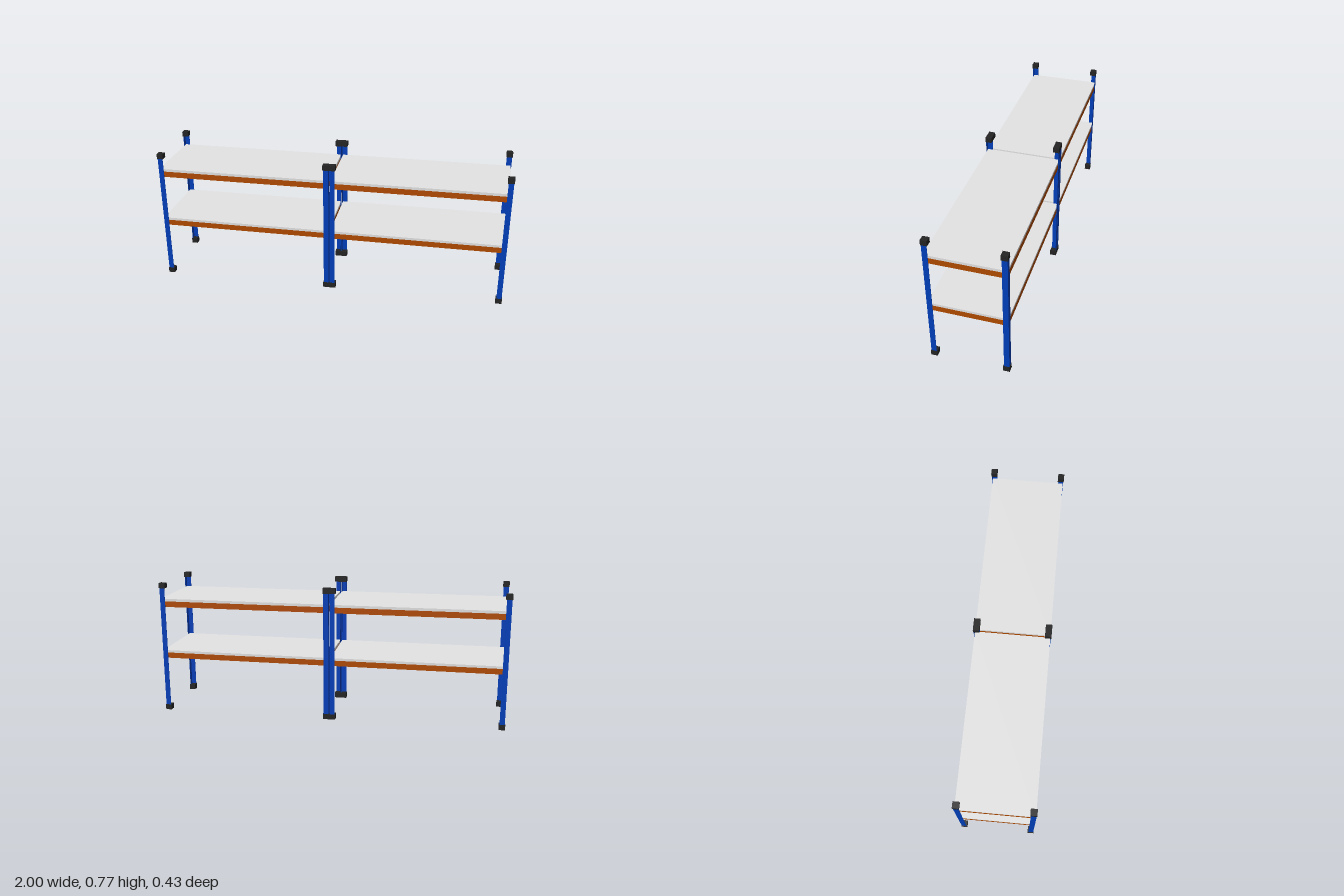
import * as THREE from 'three';

const material = (name, color) => new THREE.MeshStandardMaterial({ name, color });
const mats = {
  post: material('blue steel', 0x003fbb),
  beam: material('orange steel', 0xb24b00),
  tray: material('light grey panel', 0xe4e4e4),
  cap: material('black plastic', 0x242424),
};

// Box given by its minimum and maximum corners
function box(name, mat, [x0, y0, z0], [x1, y1, z1]) {
  const mesh = new THREE.Mesh(new THREE.BoxGeometry(x1 - x0, y1 - y0, z1 - z0), mat);
  mesh.position.set((x0 + x1) / 2, (y0 + y1) / 2, (z0 + z1) / 2);
  mesh.name = name;
  return mesh;
}

// Four thin walls around a rectangle of half-size hx, hz
function frame(name, mat, hx, hz, y0, y1, t) {
  const group = new THREE.Group();
  group.name = name;
  for (const s of [-1, 1]) {
    const z = s * (hz - t / 2), x = s * (hx - t / 2);
    group.add(
      box(name + 'Long', mat, [-hx, y0, z - t / 2], [hx, y1, z + t / 2]),
      box(name + 'End', mat, [x - t / 2, y0, -hz + t], [x + t / 2, y1, hz - t]),
    );
  }
  return group;
}

// Angle-section upright, its outer corner pointing to (sx, sz)
const PX = 0.497, PZ = 0.2135, W = 0.029, T = 0.002;
function post(sx, sz) {
  const section = [[0, 0], [W, 0], [W, T], [T, T], [T, W], [0, W]]
    .map(([a, b]) => new THREE.Vector2(sx * (PX - a), -sz * (PZ - b)));
  const geo = new THREE.ExtrudeGeometry(new THREE.Shape(section), { depth: 0.73, bevelEnabled: false });
  geo.rotateX(-Math.PI / 2).translate(0, 0.02, 0);
  const mesh = new THREE.Mesh(geo, mats.post);
  mesh.name = 'post';
  return mesh;
}

const HX = 0.494, HZ = 0.2112; // shelf half-size
function bay() {
  const group = new THREE.Group();
  group.name = 'shelfBay';
  for (const sx of [-1, 1]) for (const sz of [-1, 1]) {
    group.add(post(sx, sz));
    // Foot and top cap
    for (const [name, y0, y1] of [['foot', 0, 0.031], ['topCap', 0.74, 0.769]]) {
      const x = sx * 0.482, z = sz * 0.198, h = 0.0178;
      group.add(box(name, mats.cap, [x - h, y0, z - h], [x + h, y1, z + h]));
    }
  }
  // Shelves: beam frame carrying a shallow folded tray
  for (const [y0, y1, y2] of [[0.323, 0.355, 0.369], [0.63, 0.663, 0.678]]) {
    group.add(
      frame('beam', mats.beam, HX, HZ, y0, y1, 0.003),
      frame('trayRim', mats.tray, HX, HZ, y1, y2 - 0.002, 0.003),
      box('trayTop', mats.tray, [-HX, y2 - 0.002, -HZ], [HX, y2, HZ]),
    );
  }
  return group;
}

export function createModel() {
  const model = new THREE.Group();
  model.name = 'doubleShelf';
  for (const s of [-1, 1]) {
    const b = bay();
    b.position.x = s * 0.5;
    model.add(b);
  }
  return model;
}
